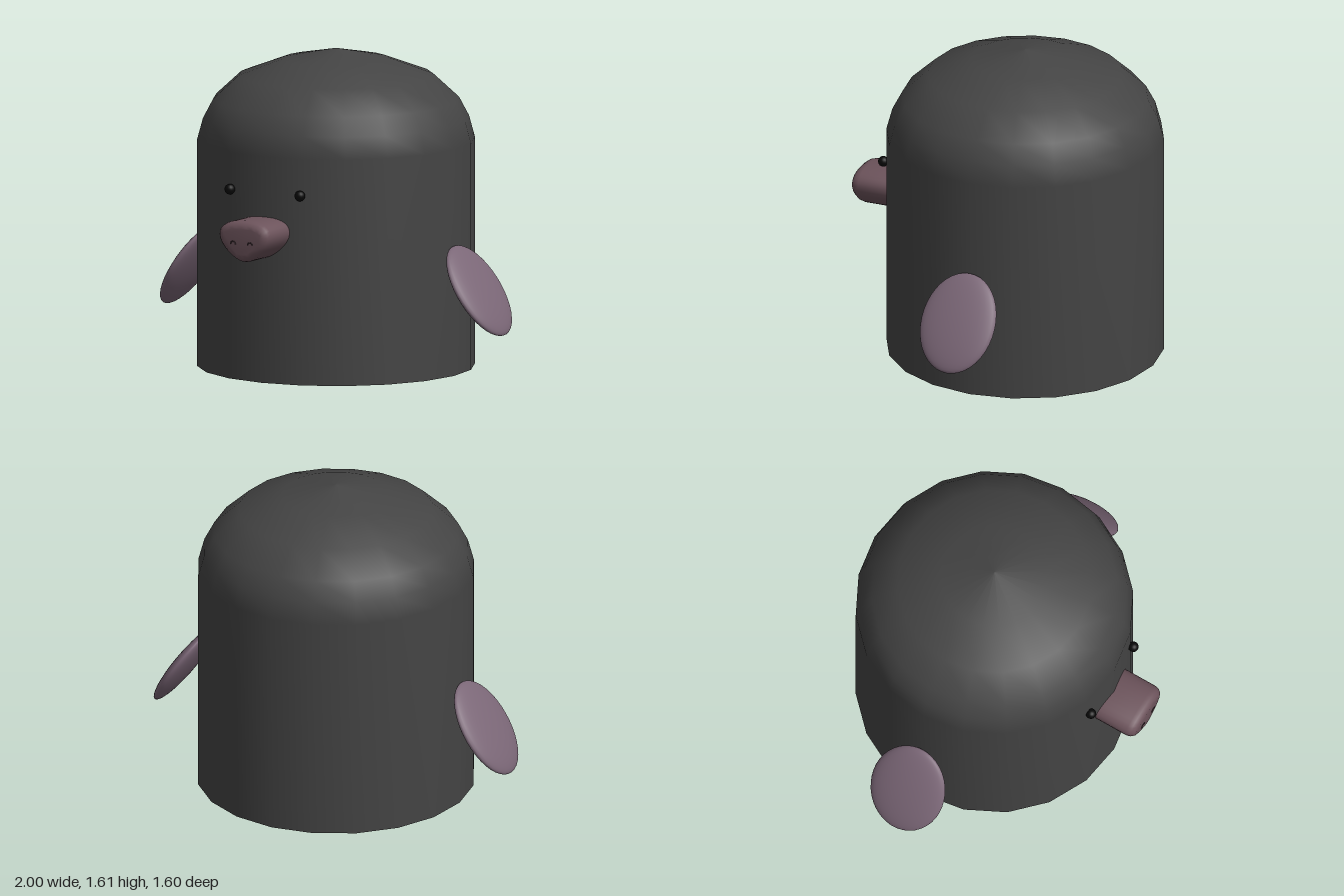
import * as THREE from 'three';
import { toCreasedNormals } from 'three/addons/utils/BufferGeometryUtils.js';

const BODY_Z = -0.1;

function part(parent, name, geometry, color, side = THREE.FrontSide) {
  const mesh = new THREE.Mesh(geometry, new THREE.MeshStandardMaterial({ color, side }));
  mesh.name = name;
  parent.add(mesh);
  return mesh;
}

// Rounded, downward-pointing snout outline, mirrored about x = 0
function snoutShape() {
  const s = new THREE.Shape();
  s.moveTo(0, 0.845);
  s.bezierCurveTo(-0.09, 0.845, -0.148, 0.825, -0.148, 0.77);
  s.bezierCurveTo(-0.148, 0.71, -0.05, 0.635, 0, 0.635);
  s.bezierCurveTo(0.05, 0.635, 0.148, 0.71, 0.148, 0.77);
  s.bezierCurveTo(0.148, 0.825, 0.09, 0.845, 0, 0.845);
  return s;
}

export function createModel() {
  const model = new THREE.Group();
  model.name = 'mole';

  // Hollow body, open at the bottom, with a domed head
  const profile = [
    [0.7, 0], [0.7, 1.15], [0.67, 1.26], [0.62, 1.355],
    [0.49, 1.475], [0.27, 1.557], [0, 1.61],
  ].map(([r, y]) => new THREE.Vector2(r, y));
  const body = part(model, 'body', new THREE.LatheGeometry(profile, 20), 0x444444, THREE.DoubleSide);
  body.position.z = BODY_Z;

  // Snout reaching through the front wall, with a bevelled tip
  const snoutGeometry = new THREE.ExtrudeGeometry(snoutShape(), {
    depth: 0.226, curveSegments: 8, bevelEnabled: true,
    bevelSize: 0.035, bevelOffset: -0.035, bevelThickness: 0.045, bevelSegments: 3,
  });
  const snout = part(model, 'snout', toCreasedNormals(snoutGeometry, 0.9), 0x6c535b);
  snout.position.set(0.003, 0, 0.525);

  for (const side of [-1, 1]) {
    const label = side > 0 ? 'left' : 'right';

    // Flat oval paws slanting down and outward
    const paw = part(model, label + 'Paw', new THREE.SphereGeometry(1, 32, 20), 0x7a6676);
    paw.scale.set(0.045, 0.26, 0.2);
    paw.position.set(side * 0.85, 0.447, BODY_Z);
    paw.rotation.z = side * 0.59;

    // Bead eyes
    const eye = part(model, label + 'Eye', new THREE.SphereGeometry(0.027, 16, 12), 0x080808);
    eye.position.set(0.008 + side * 0.208, 0.966, 0.583);

    // Small arched nostrils
    const nostril = part(model, label + 'Nostril',
      new THREE.TorusGeometry(0.014, 0.004, 6, 10, Math.PI), 0x3a2b30);
    nostril.position.set(0.003 + side * 0.05, 0.728, 0.795);
  }

  return model;
}
